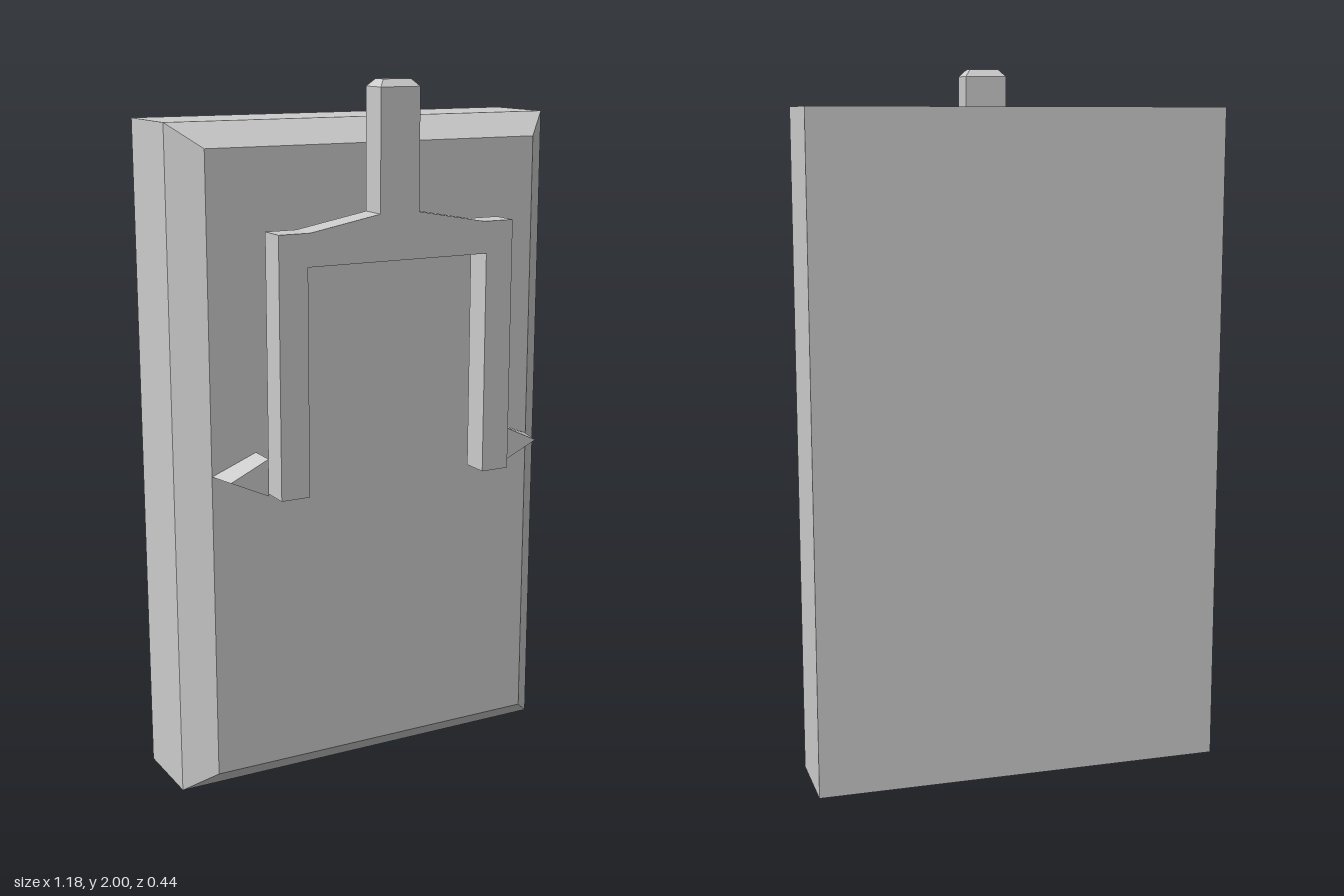
import * as THREE from 'three';

const material = new THREE.MeshStandardMaterial({ color: 0xcccccc, flatShading: true });

// Closed solid through matching convex rings, counter-clockwise when seen
// from the side the rings advance towards.
function loft(name, rings) {
  const n = rings[0].length;
  const positions = [];
  const tri = (a, b, c) => positions.push(...a, ...b, ...c);
  for (let r = 0; r < rings.length - 1; r++) {
    const lo = rings[r], hi = rings[r + 1];
    for (let i = 0; i < n; i++) {
      const j = (i + 1) % n;
      tri(lo[i], lo[j], hi[j]);
      tri(lo[i], hi[j], hi[i]);
    }
  }
  const first = rings[0], last = rings[rings.length - 1];
  for (let i = 1; i < n - 1; i++) {
    tri(first[0], first[i + 1], first[i]);
    tri(last[0], last[i], last[i + 1]);
  }
  const geometry = new THREE.BufferGeometry();
  geometry.setAttribute('position', new THREE.Float32BufferAttribute(positions, 3));
  geometry.computeVertexNormals();
  const mesh = new THREE.Mesh(geometry, material);
  mesh.name = name;
  return mesh;
}

// Upright rectangle facing +z
const panelRing = (w, y0, y1, z) => [[-w, y0, z], [w, y0, z], [w, y1, z], [-w, y1, z]];
// Level rectangle facing +y
const levelRing = (w, z0, z1, y) => [[-w, y, z1], [w, y, z1], [w, y, z0], [-w, y, z0]];

export function createModel() {
  const model = new THREE.Group();
  model.name = 'forkSwitch';

  // Back slab with a bevelled front
  model.add(loft('backPlate', [
    panelRing(0.59, 0, 1.893, -0.222),
    panelRing(0.59, 0, 1.893, 0.012),
    panelRing(0.51, 0.067, 1.828, 0.092),
  ]));

  // Two-pronged fork: half outline mirrored across x = 0
  const half = [[0.06, 1.98], [0.06, 1.648], [0.27, 1.61], [0.362, 1.61],
    [0.362, 0.89], [0.277, 0.89], [0.277, 1.52]];
  const outline = [...half, ...half.map(([x, y]) => [-x, y]).reverse()];
  const shape = new THREE.Shape(outline.map(([x, y]) => new THREE.Vector2(x, y)));
  const fork = new THREE.Mesh(
    new THREE.ExtrudeGeometry(shape, { depth: 0.082, bevelEnabled: false }), material);
  fork.position.z = 0.138;
  fork.name = 'fork';
  model.add(fork);

  // Chamfered tip of the fork stem
  model.add(loft('stemCap', [
    levelRing(0.06, 0.138, 0.22, 1.98),
    levelRing(0.042, 0.158, 0.2, 2),
  ]));

  // Triangular side pointers, their points drawn in towards the front
  for (const side of [1, -1]) {
    const ring = (tip, z) => {
      const points = [[side * 0.378, 0.895, z], [side * tip, 0.947, z], [side * 0.378, 1, z]];
      return side > 0 ? points : points.reverse();
    };
    model.add(loft(side > 0 ? 'leftPointer' : 'rightPointer',
      [ring(0.51, 0.09), ring(0.49, 0.174)]));
  }

  return model;
}
